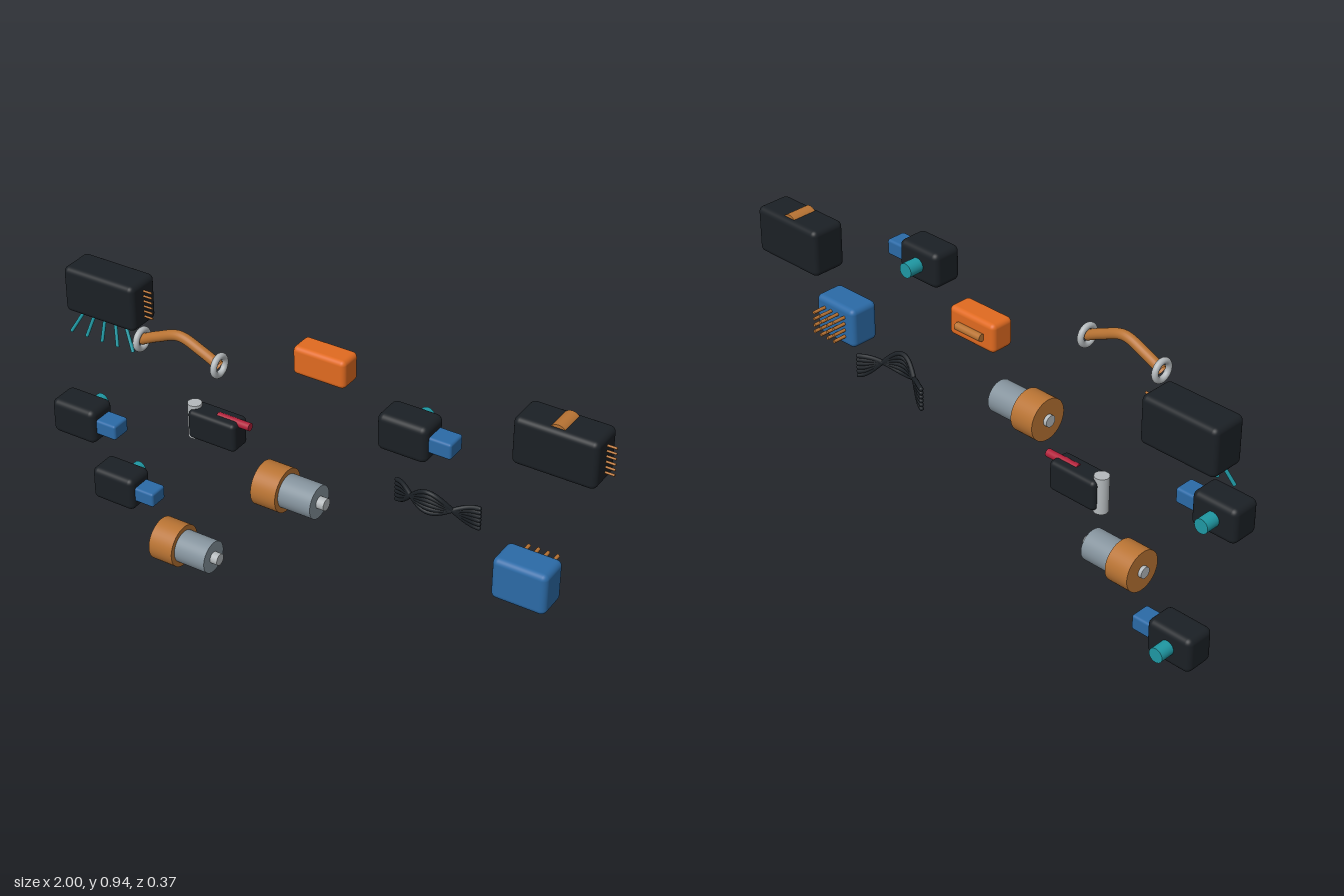
import * as THREE from 'three';
import { RoundedBoxGeometry } from 'three/addons/geometries/RoundedBoxGeometry.js';

const paint = (color) => new THREE.MeshStandardMaterial({ color });
const mats = {
  dark: paint(0x1b2025), blue: paint(0x2b6aa6), teal: paint(0x1f98a3), copper: paint(0xb87333),
  orange: paint(0xe06a20), steel: paint(0x84929c), silver: paint(0xb4b9bc), red: paint(0xb0203a),
};
mats.copperShell = paint(0xb87333);
mats.copperShell.side = THREE.DoubleSide;

const FRONT = 0.11, BACK = -0.075;       // the two depth rows
const TOP = 0.85, MIDDLE = 0.465, BOTTOM = 0.077; // the three heights

function add(parent, name, geometry, mat, x = 0, y = 0, z = 0) {
  const mesh = new THREE.Mesh(geometry, mats[mat]);
  mesh.name = name;
  mesh.position.set(x, y, z);
  parent.add(mesh);
  return mesh;
}

function unit(parent, name, x, y, z) {
  const g = new THREE.Group();
  g.name = name;
  g.position.set(x, y, z);
  parent.add(g);
  return g;
}

const box = (w, h, d, r) => new RoundedBoxGeometry(w, h, d, 4, r);

// Solid round bar between two points
function rod(parent, name, mat, a, b, radius, sides = 24) {
  const from = new THREE.Vector3(...a), to = new THREE.Vector3(...b);
  const dir = to.clone().sub(from);
  const mesh = add(parent, name, new THREE.CylinderGeometry(radius, radius, dir.length(), sides), mat);
  mesh.position.copy(from).lerp(to, 0.5);
  mesh.quaternion.setFromUnitVectors(new THREE.Vector3(0, 1, 0), dir.normalize());
  return mesh;
}

// Dark case with a row of pins on its right-hand end
function pinnedCase(parent, name, x) {
  const g = unit(parent, name, x, TOP, BACK);
  add(g, 'case', box(0.284, 0.168, 0.13, 0.02), 'dark');
  for (let i = 0; i < 6; i++) {
    const y = -0.048 + i * 0.0192;
    rod(g, 'sidePin', 'copper', [0.12, y, 0], [0.174, y, 0], 0.004, 10);
  }
  return g;
}

// Dark body with a blue nose and a teal stub at the back
function actuator(parent, x, y, z) {
  const g = unit(parent, 'actuator', x, y, z);
  add(g, 'body', box(0.174, 0.128, 0.112, 0.022), 'dark');
  add(g, 'nose', box(0.1, 0.056, 0.074, 0.009), 'blue', 0.112);
  rod(g, 'backStub', 'teal', [0, 0, -0.04], [0, 0, -0.11], 0.026, 32);
}

// Stepped cylinder lying along x with a shaft through it
function motor(parent, x, y) {
  const g = unit(parent, 'motor', x, y, FRONT);
  rod(g, 'collar', 'copper', [-0.11, 0, 0], [-0.017, 0, 0], 0.076, 48);
  rod(g, 'barrel', 'steel', [-0.1, 0, 0], [0.103, 0, 0], 0.058, 48);
  rod(g, 'shaft', 'silver', [-0.123, 0, 0], [0.13, 0, 0], 0.021, 32);
}

export function createModel() {
  const model = new THREE.Group();
  model.name = 'componentSet';

  // Case with fanned legs underneath
  const legged = pinnedCase(model, 'leggedCase', -0.858);
  for (let i = -2; i <= 2; i++) {
    rod(legged, 'leg', 'teal', [i * 0.036, -0.06, 0.026], [i * 0.064, -0.163, 0.056], 0.006, 12);
  }

  // Case with a half-sunk roller on top
  const topped = pinnedCase(model, 'rollerCase', 0.826);
  rod(topped, 'roller', 'copper', [0, 0.064, -0.046], [0, 0.064, 0.046], 0.031, 32);

  // Arched pipe with a ring at each end
  const pipe = unit(model, 'archedPipe', -0.44, TOP, FRONT);
  const arch = new THREE.CatmullRomCurve3(
    [[-0.15, 0], [-0.085, 0.031], [0, 0.06], [0.085, 0.031], [0.15, 0]].map(([x, y]) => new THREE.Vector3(x, y, 0)));
  add(pipe, 'pipe', new THREE.TubeGeometry(arch, 40, 0.0175, 20), 'copperShell');
  for (const side of [-1, 1]) {
    const ring = add(pipe, 'endRing', new THREE.TorusGeometry(0.032, 0.011, 16, 40), 'silver', side * 0.15);
    ring.rotation.y = Math.PI / 2;
  }

  // Small orange block with a bar on its back
  const block = unit(model, 'orangeBlock', -0.016, TOP, -0.08);
  add(block, 'shell', box(0.194, 0.102, 0.088, 0.017), 'orange', 0, 0.003);
  rod(block, 'backBar', 'copper', [-0.054, 0, -0.051], [0.054, 0, -0.051], 0.013, 24);

  // Three actuators and two motors
  actuator(model, 0.404, TOP, FRONT);
  actuator(model, -0.858, MIDDLE, FRONT);
  actuator(model, -0.858, BOTTOM + 0.001, BACK);
  motor(model, -0.02, MIDDLE);
  motor(model, -0.44, BOTTOM);

  // Dark housing with an upright post and a red plunger
  const housing = unit(model, 'plungerHousing', -0.44, MIDDLE, BACK);
  add(housing, 'housingBody', box(0.188, 0.108, 0.084, 0.016), 'dark', 0.004, -0.001);
  rod(housing, 'post', 'silver', [-0.086, -0.066, 0], [-0.086, 0.064, 0], 0.025, 32);
  rod(housing, 'plunger', 'red', [0.01, 0.044, 0], [0.137, 0.044, 0], 0.014, 24);

  // Bowed ribbon of wires that cross over twice
  const ribbon = unit(model, 'wireRibbon', 0.403, MIDDLE, -0.085);
  for (let i = 0; i < 6; i++) {
    const offset = (i - 2.5) * 0.015;
    const points = [];
    for (let k = 0; k <= 16; k++) {
      const t = k / 16;
      const bow = Math.max(0, Math.sin(Math.PI * t)) ** 1.3;
      points.push(new THREE.Vector3(
        (t - 0.5) * 0.3, 0.042 * bow + offset * Math.cos(2 * Math.PI * t), 0.063 * bow));
    }
    const curve = new THREE.CatmullRomCurve3(points);
    add(ribbon, 'wire', new THREE.TubeGeometry(curve, 48, 0.008, 10), 'dark');
    for (const end of [points[0], points[16]]) {
      add(ribbon, 'wireEnd', new THREE.SphereGeometry(0.008, 10, 8), 'dark', end.x, end.y, end.z);
    }
  }

  // Blue block with a grid of pins on its back
  const socket = unit(model, 'pinBlock', 0.823, MIDDLE, FRONT);
  add(socket, 'blockBody', box(0.188, 0.15, 0.114, 0.02), 'blue');
  for (let c = 0; c < 4; c++) {
    for (let r = 0; r < 4; r++) {
      const x = (c - 1.5) * 0.033, y = (r - 1.5) * 0.025;
      rod(socket, 'backPin', 'copper', [x, y, -0.04], [x, y, -0.108], 0.006, 12);
    }
  }

  return model;
}
